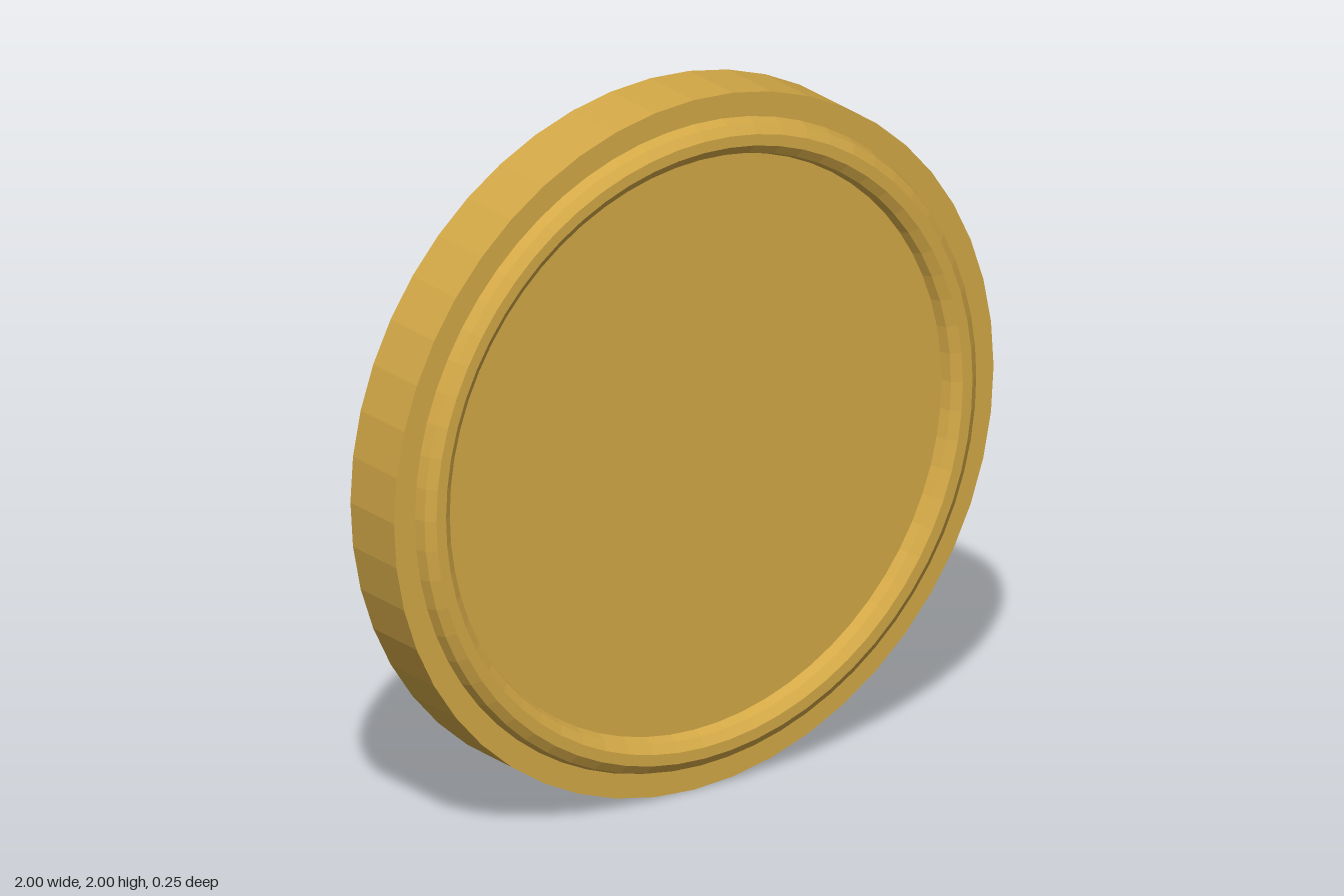
import * as THREE from 'three';

export function createModel() {
  const group = new THREE.Group();
  const gold = new THREE.MeshStandardMaterial({ color: 0xd4a947, flatShading: true });
  gold.name = 'gold';

  // Thick round plate, standing upright with its face towards +z
  const discGeometry = new THREE.CylinderGeometry(1, 1, 0.2, 48);
  discGeometry.rotateX(Math.PI / 2);
  const disc = new THREE.Mesh(discGeometry, gold);
  disc.name = 'disc';
  disc.position.set(0, 1, -0.025);

  // Raised rim, half sunk into the front face
  const rim = new THREE.Mesh(new THREE.TorusGeometry(0.878, 0.052, 10, 64), gold);
  rim.name = 'frontRim';
  rim.position.set(0, 1, 0.075);

  group.add(disc, rim);
  return group;
}
